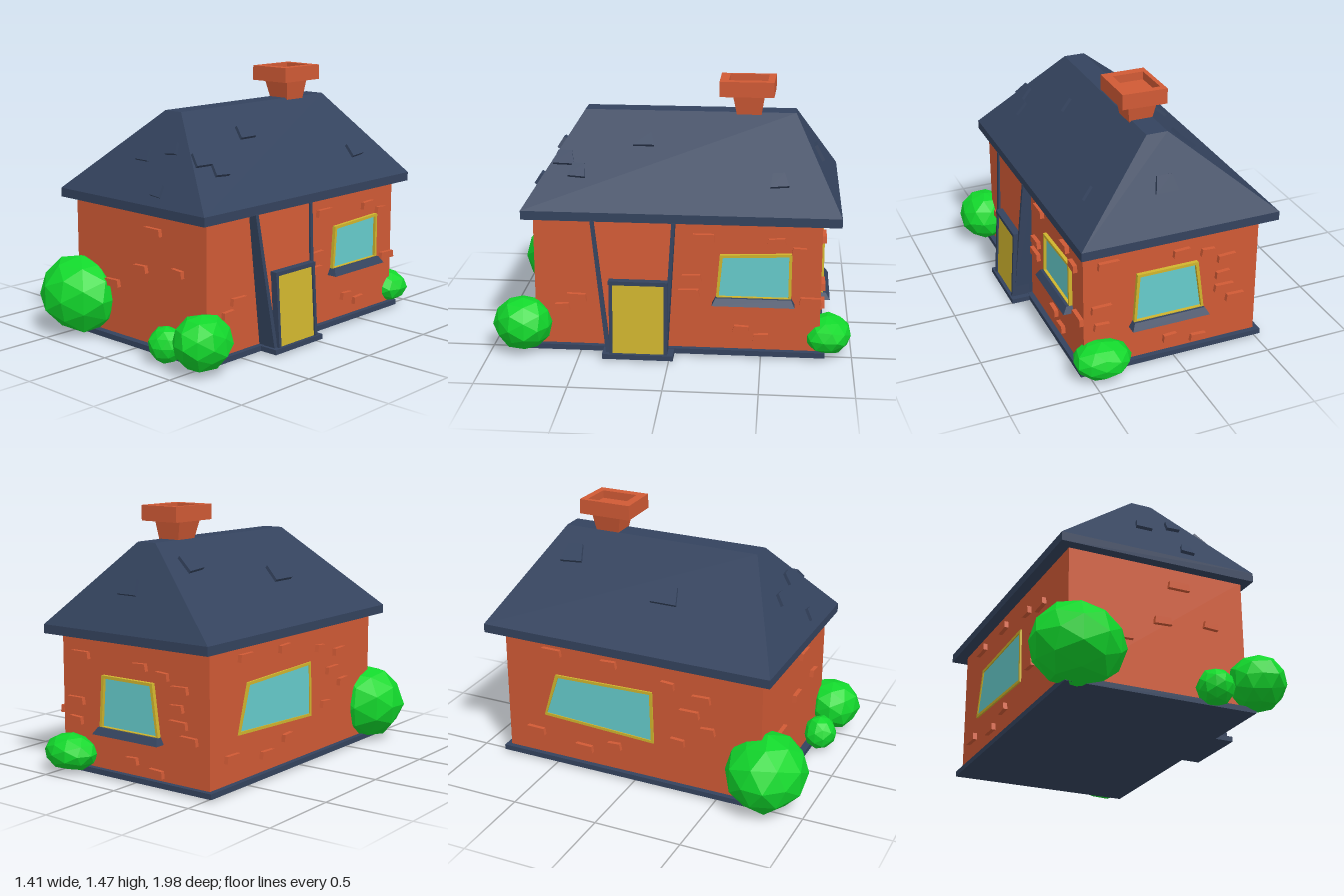
import * as THREE from 'three';

const mat = (color) => new THREE.MeshStandardMaterial({ color, flatShading: true });
const brick = mat(0xd05a35), slate = mat(0x34435e), yellow = mat(0xd0b52e);
const glass = mat(0x66cccc), green = mat(0x12d82c);

function add(parent, name, geometry, material) {
  const mesh = new THREE.Mesh(geometry, material);
  mesh.name = name;
  parent.add(mesh);
  return mesh;
}

// Block whose bottom and top rectangles [x0, x1, z0, z1] may differ
function block(y0, bottom, y1, top = bottom) {
  const geo = new THREE.BoxGeometry(1, 1, 1).toNonIndexed();
  const p = geo.attributes.position;
  for (let i = 0; i < p.count; i++) {
    const up = p.getY(i) > 0, r = up ? top : bottom;
    p.setXYZ(i, p.getX(i) < 0 ? r[0] : r[1], up ? y1 : y0, p.getZ(i) < 0 ? r[2] : r[3]);
  }
  geo.computeVertexNormals();
  return geo;
}

const polygon = (pts) => new THREE.Shape(pts.map(([x, y]) => new THREE.Vector2(x, y)));
const slab = (shape, depth) => new THREE.ExtrudeGeometry(shape, { depth, bevelEnabled: false });

// Trapezoid centred on the origin
const trapezoid = (bottom, top, h) =>
  polygon([[-bottom / 2, -h / 2], [bottom / 2, -h / 2], [top / 2, h / 2], [-top / 2, h / 2]]);

// Group facing outward from one side of the house
function addSide(house, name, turn, out) {
  const side = new THREE.Group();
  side.name = name;
  side.rotation.y = turn;
  side.position.set(Math.sin(turn) * out, 0, Math.cos(turn) * out);
  house.add(side);
  return side;
}

// Roof tiles at [along, height] on a slope that runs inward by run
function addTiles(side, run, size, spots) {
  spots.forEach(([u, y], i) => {
    const w = size * (1 + 0.12 * Math.cos(i * 2));
    const tile = add(side, 'roofTile', slab(trapezoid(w, w * 0.65, size * 0.8), 0.018), slate);
    tile.position.set(u, y, -run * (y - 0.83) / 0.46);
    tile.rotation.set(-Math.atan2(run, 0.46), 0, 0.1 * Math.sin(i * 2));
  });
}

// Protruding bricks at [along, height], with slightly varied sizes
function addBricks(wall, spots) {
  spots.forEach(([u, y], i) => {
    const w = 0.105 + 0.02 * Math.cos(i * 1.7);
    const stone = add(wall, 'brick', slab(trapezoid(w, w - 0.012, 0.04), 0.024), brick);
    stone.position.set(u, y, 0);
    stone.rotation.z = 0.06 * Math.sin(i * 2.3);
  });
}

// Window from four corners, counter-clockwise from bottom left
function addWindow(wall, corners, depth) {
  const cx = corners.reduce((s, c) => s + c[0], 0) / 4, cy = corners.reduce((s, c) => s + c[1], 0) / 4;
  const inner = corners.map(([x, y]) => [x - Math.sign(x - cx) * 0.016, y - Math.sign(y - cy) * 0.016]);
  const frame = polygon(corners);
  frame.holes.push(polygon([...inner].reverse()));
  add(wall, 'windowFrame', slab(frame, depth), yellow);
  add(wall, 'windowGlass', slab(polygon(inner), 0.004), glass);
}

// Flared sill from a to b under a window
function addSill(wall, a, b, y) {
  add(wall, 'windowSill', block(y - 0.025, [a - 0.02, b + 0.02, -0.01, 0.06], y + 0.012, [a, b, -0.01, 0.035]), slate);
}

// Low-poly bush with a gently uneven outline
function addBush(house, seed, center, radii) {
  const geo = new THREE.IcosahedronGeometry(1, 1);
  const p = geo.attributes.position, v = new THREE.Vector3();
  for (let i = 0; i < p.count; i++) {
    v.fromBufferAttribute(p, i);
    v.multiplyScalar(0.96 + 0.05 * Math.sin(v.x * 4 + seed * 2) * Math.cos(v.y * 3 + v.z * 4 + seed));
    p.setXYZ(i, v.x, v.y, v.z);
  }
  geo.rotateY(seed * 0.9 + 0.3);
  geo.scale(...radii);
  geo.computeVertexNormals();
  add(house, 'bush', geo, green).position.set(...center);
}

export function createModel() {
  const house = new THREE.Group();
  house.name = 'house';
  const right = Math.PI / 2;

  // Base and walls
  add(house, 'base', block(0.02, [-0.53, 0.55, -0.85, 0.79], 0.05), slate);
  add(house, 'walls', block(0.04, [-0.5, 0.52, -0.82, 0.75], 0.79), brick);

  // Hipped roof with a flat ridge
  const eave = [-0.565, 0.565, -0.92, 0.81];
  add(house, 'eaves', block(0.78, eave, 0.83), slate);
  add(house, 'roof', block(0.83, eave, 1.29, [-0.02, 0.1, -0.665, 0.515]), slate);

  // Loose tiles on each slope
  addTiles(addSide(house, 'frontTiles', 0, 0.81), 0.295, 0.085, [[-0.03, 1.06], [0.16, 1.11], [0.18, 0.905]]);
  addTiles(addSide(house, 'leftTiles', right, 0.565), 0.465, 0.105, [[-0.17, 1.155], [0.58, 0.985], [-0.52, 1.01], [-0.6, 1.065]]
    .map(([u, y]) => [u === 0.58 ? -u : -u, y]).map(([u, y]) => [-u, y]));
  addTiles(addSide(house, 'backTiles', 2 * right, 0.92), 0.255, 0.115, [[-0.05, 1.06]]);
  addTiles(addSide(house, 'rightTiles', -right, 0.565), 0.545, 0.14, [[0.09, 1.07], [-0.55, 1.175]]);

  // Chimney: flared stem, hollow cap and its floor
  add(house, 'chimneyStem', block(1.2, [0, 0.1, -0.46, -0.35], 1.4, [-0.045, 0.13, -0.49, -0.31]), brick);
  const capShape = polygon([[-0.07, 0.24], [0.18, 0.24], [0.18, 0.54], [-0.07, 0.55]]);
  capShape.holes.push(polygon([[-0.045, 0.29], [-0.045, 0.51], [0.13, 0.505], [0.13, 0.29]]));
  const cap = add(house, 'chimneyCap', slab(capShape, 0.085), brick);
  cap.rotation.x = -right;
  cap.position.y = 1.39;
  add(house, 'chimneyFloor', block(1.391, [-0.05, 0.135, -0.515, -0.285], 1.43), brick);

  // Front wall
  addBricks(addSide(house, 'frontWall', 0, 0.75), [[0.13, 0.68], [0.03, 0.46], [0.315, 0.485], [-0.2, 0.34]]);

  // Door side wall
  const doorWall = addSide(house, 'doorWall', right, 0.52);
  addWindow(doorWall, [[0.25, 0.345], [0.66, 0.345], [0.66, 0.615], [0.27, 0.6]], 0.02);
  addSill(doorWall, 0.25, 0.66, 0.345);
  addBricks(doorWall, [[0.18, 0.695], [0.575, 0.68], [0.7, 0.63], [0.115, 0.46], [0.1, 0.375],
    [0.39, 0.17], [0.5, 0.125], [0.765, 0.345], [-0.52, 0.33], [-0.6, 0.27]]);

  // Back wall
  const backWall = addSide(house, 'backWall', 2 * right, 0.82);
  addWindow(backWall, [[-0.24, 0.275], [0.175, 0.275], [0.135, 0.575], [-0.22, 0.575]], 0.022);
  addSill(backWall, -0.24, 0.175, 0.275);
  addBricks(backWall, [[-0.38, 0.67], [0.04, 0.65], [0.195, 0.62], [0.31, 0.56], [-0.42, 0.41],
    [-0.42, 0.3], [0.29, 0.46], [0.3, 0.375], [0.37, 0.3], [-0.02, 0.13], [0.15, 0.09]]);

  // Plain side wall
  const sideWall = addSide(house, 'sideWall', -right, 0.5);
  addWindow(sideWall, [[-0.58, 0.3], [0.115, 0.27], [0.105, 0.585], [-0.5, 0.57]], 0.01);
  addBricks(sideWall, [[-0.52, 0.71], [-0.16, 0.705], [0.2, 0.65], [0.4, 0.605], [0.33, 0.505],
    [0.26, 0.315], [0.44, 0.42], [-0.64, 0.19], [-0.325, 0.145], [-0.13, 0.2]]);

  // Tapered porch with side boards, leaning out towards the ground
  add(house, 'porchPanel', block(0.04, [0.5, 0.61, 0.02, 0.335], 0.785, [0.5, 0.56, -0.02, 0.42]), brick);
  add(house, 'porchBoard', block(0.04, [0.5, 0.63, 0.012, 0.032], 0.785, [0.5, 0.568, -0.03, -0.01]), slate);
  add(house, 'porchBoard', block(0.04, [0.5, 0.63, 0.32, 0.345], 0.785, [0.5, 0.568, 0.41, 0.432]), slate);
  add(house, 'doorStep', block(0.02, [0.5, 0.657, -0.025, 0.365], 0.048), slate);

  // Door with jambs and lintel
  add(house, 'door', block(0.045, [0.54, 0.637, 0.025, 0.31], 0.445, [0.54, 0.612, 0.025, 0.31]), yellow);
  for (const z of [0.008, 0.308])
    add(house, 'doorJamb', block(0.045, [0.54, 0.647, z, z + 0.018], 0.445, [0.54, 0.622, z, z + 0.018]), slate);
  add(house, 'doorLintel', block(0.44, [0.54, 0.624, 0.005, 0.33], 0.462), slate);

  // Bushes at three corners
  addBush(house, 0, [-0.455, 0.23, 0.77], [0.265, 0.23, 0.235]);
  addBush(house, 1, [0.55, 0.175, 0.815], [0.162, 0.158, 0.168]);
  addBush(house, 2, [0.295, 0.11, 0.825], [0.106, 0.104, 0.1]);
  addBush(house, 3, [0.435, 0.123, -0.86], [0.17, 0.108, 0.143]);

  return house;
}
